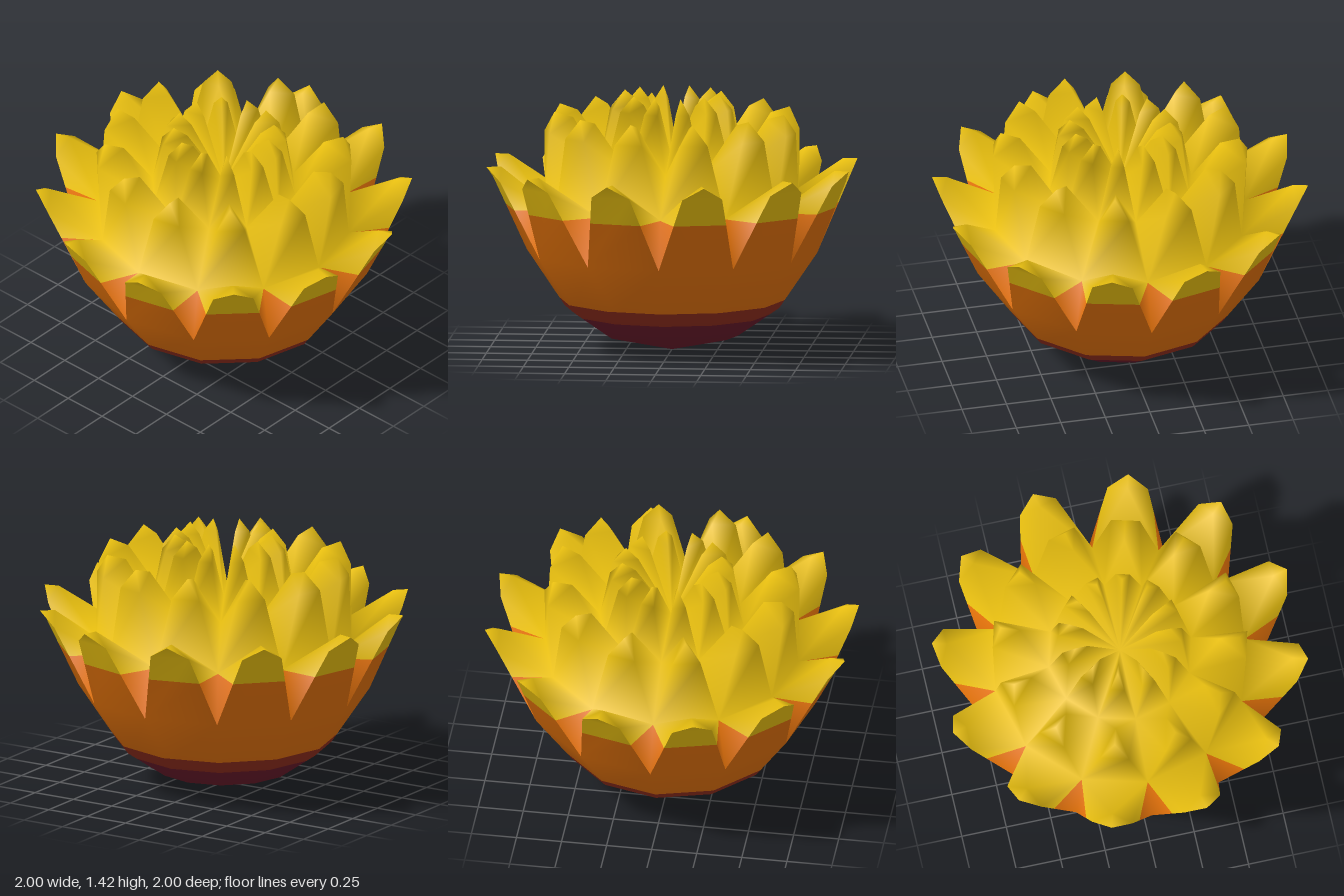
import * as THREE from 'three';
import { mergeGeometries, mergeVertices } from 'three/addons/utils/BufferGeometryUtils.js';

const SIDES = 12;
const STEP = (Math.PI * 2) / SIDES;
const HALF_TIP = 0.113; // half the angle between a petal's two shoulders

// Colour bands by height, from the base up
const BANDS = [
  { part: 'base', color: 0x681a2a, name: 'maroon', low: -1, high: 0.2 },
  { part: 'baseRim', color: 0x8e2c1c, name: 'redBrown', low: 0.2, high: 0.28 },
  { part: 'bowl', color: 0xe07008, name: 'orange', low: 0.28, high: 0.81 },
  { part: 'petals', color: 0xecc210, name: 'yellow', low: 0.81, high: 3 },
];

// [radius, height] of the bowl profile
const BOWL = [[0, 0], [0.365, 0.08], [0.59, 0.235], [0.8, 0.545]];

// Each petal ring: valley, shoulder, tip, inner tip and the next valley inside
const PETAL_RINGS = [
  { valley: [0.8, 0.545], shoulder: [0.983, 0.965], tip: [1.033, 1.035], inner: [0.95, 1.035], next: [0.7, 0.812] },
  { valley: [0.7, 0.812], shoulder: [0.7, 1.22], tip: [0.655, 1.33], inner: [0.55, 1.3], next: [0.4, 1.015] },
  { valley: [0.4, 1.015], shoulder: [0.34, 1.34], tip: [0.275, 1.425], inner: [0.2, 1.37], next: [0, 1.05] },
];

const point = ([r, y], a) => new THREE.Vector3(r * Math.sin(a), y, r * Math.cos(a));

function tri(list, a, b, c) {
  const area = b.clone().sub(a).cross(c.clone().sub(a)).length();
  if (area > 1e-6) for (const p of [a, b, c]) list.push(p.x, p.y, p.z);
}

// Shared normals inside one skin, so only the border between skins is sharp
function smoothSkin(positions) {
  const geometry = new THREE.BufferGeometry();
  geometry.setAttribute('position', new THREE.Float32BufferAttribute(positions, 3));
  const merged = mergeVertices(geometry, 1e-4);
  merged.computeVertexNormals();
  return merged.toNonIndexed();
}

function buildSurface() {
  const outside = [], upper = [];
  for (let i = 0; i < SIDES; i++) {
    const a = i * STEP, b = (i + 1) * STEP, mid = (a + b) / 2;

    // Bowl segment
    for (let k = 0; k < BOWL.length - 1; k++) {
      const loA = point(BOWL[k], a), loB = point(BOWL[k], b);
      const hiA = point(BOWL[k + 1], a), hiB = point(BOWL[k + 1], b);
      tri(outside, loA, loB, hiB);
      tri(outside, loA, hiB, hiA);
    }

    // One solid petal in each ring
    PETAL_RINGS.forEach((ring, level) => {
      const vA = point(ring.valley, a), vB = point(ring.valley, b);
      const nA = point(ring.next, a), nB = point(ring.next, b);
      const sA = point(ring.shoulder, mid - HALF_TIP), sB = point(ring.shoulder, mid + HALF_TIP);
      const tip = point(ring.tip, mid), inner = point(ring.inner, mid);
      // outer face, which continues the bowl in the lowest ring
      const face = level === 0 ? outside : upper;
      tri(face, vA, vB, sB);
      tri(face, vA, sB, sA);
      tri(face, sA, sB, tip);
      // upper face, fanned around the inner tip
      const rim = [tip, sB, nB, nA, sA, tip];
      for (let k = 0; k < 5; k++) tri(upper, inner, rim[k], rim[k + 1]);
      // side walls of the grooves
      tri(upper, nA, vA, sA);
      tri(upper, vB, nB, sB);
    });
  }
  return mergeGeometries([smoothSkin(outside), smoothSkin(upper)]);
}

// Keeps the part of a polygon above (sign 1) or below (sign -1) a height
function clip(polygon, height, sign) {
  const out = [];
  polygon.forEach((p, i) => {
    const q = polygon[(i + 1) % polygon.length];
    const dp = (p[1] - height) * sign, dq = (q[1] - height) * sign;
    if (dp >= 0) out.push(p);
    if (dp * dq < 0) out.push(p.map((v, k) => v + (q[k] - v) * (dp / (dp - dq))));
  });
  return out;
}

function sliceBand(surface, low, high) {
  const pos = surface.attributes.position, nor = surface.attributes.normal;
  const positions = [], normals = [];
  for (let i = 0; i < pos.count; i += 3) {
    let polygon = [i, i + 1, i + 2].map((j) => [
      pos.getX(j), pos.getY(j), pos.getZ(j), nor.getX(j), nor.getY(j), nor.getZ(j)]);
    polygon = clip(clip(polygon, low, 1), high, -1);
    for (let k = 1; k < polygon.length - 1; k++) {
      for (const v of [polygon[0], polygon[k], polygon[k + 1]]) {
        positions.push(v[0], v[1], v[2]);
        normals.push(...new THREE.Vector3(v[3], v[4], v[5]).normalize().toArray());
      }
    }
  }
  const geometry = new THREE.BufferGeometry();
  geometry.setAttribute('position', new THREE.Float32BufferAttribute(positions, 3));
  geometry.setAttribute('normal', new THREE.Float32BufferAttribute(normals, 3));
  return geometry;
}

export function createModel() {
  const flower = new THREE.Group();
  flower.name = 'flower';
  const surface = buildSurface();
  for (const band of BANDS) {
    const material = new THREE.MeshStandardMaterial({ color: band.color });
    material.name = band.name;
    const mesh = new THREE.Mesh(sliceBand(surface, band.low, band.high), material);
    mesh.name = band.part;
    flower.add(mesh);
  }
  return flower;
}
